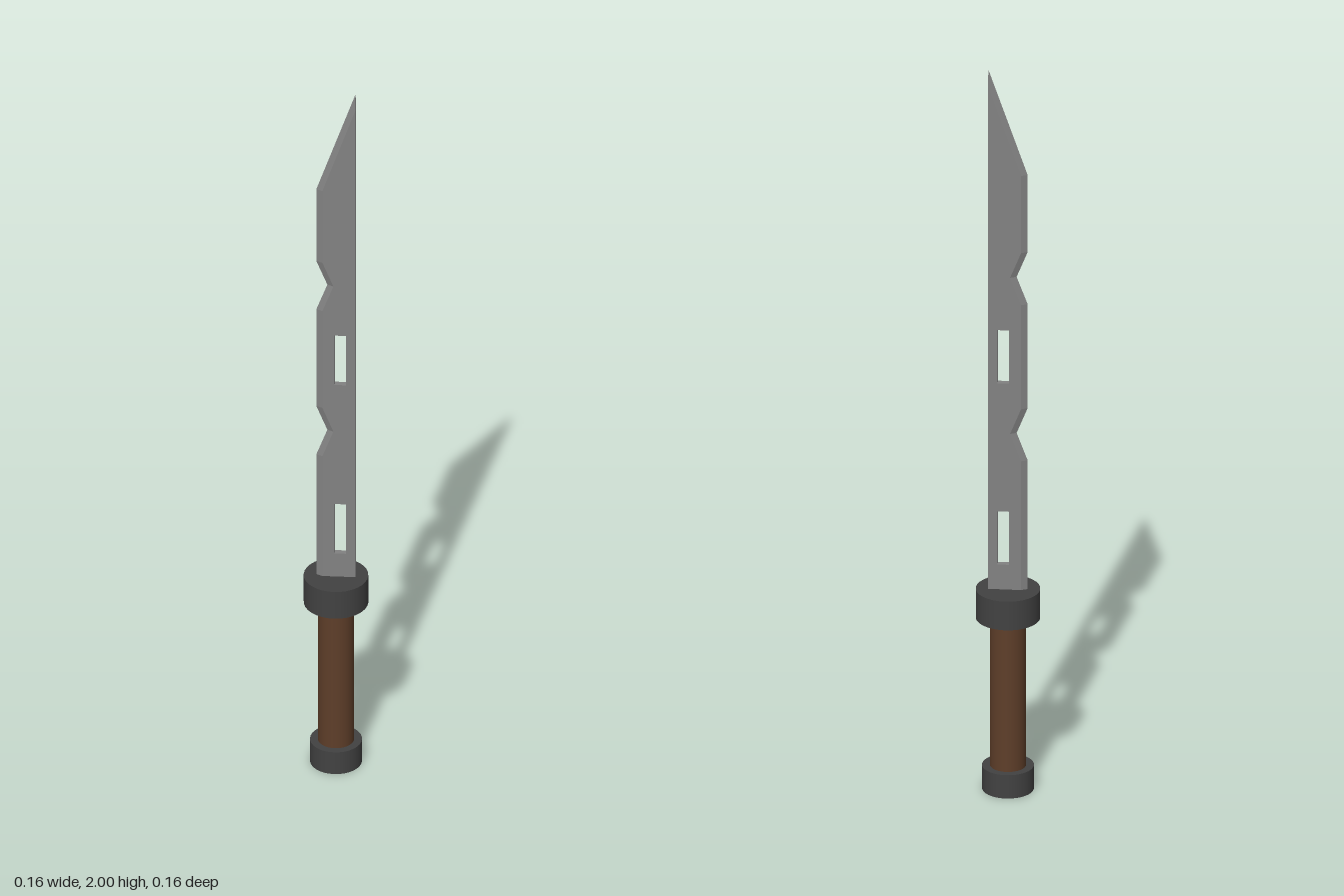
import * as THREE from 'three';

const steel = new THREE.MeshStandardMaterial({ color: 0x828282 });
steel.name = 'bladeSteel';
const iron = new THREE.MeshStandardMaterial({ color: 0x424242 });
iron.name = 'darkIron';
const wood = new THREE.MeshStandardMaterial({ color: 0x5e3e29 });
wood.name = 'brownGrip';

const HALF = 0.008; // half the blade thickness
const BEVEL = 0.016; // width of the sharpened edge
const TIP = 1.955; // top of the flat faces

function makeBlade() {
  // Outline of the flat faces, inside the bevel
  const edge = -0.05 + BEVEL, notch = -0.022 + BEVEL;
  const shape = new THREE.Shape([
    [0.05, 0.53], [0.05, TIP], [edge, 1.71],
    [edge, 1.495], [notch, 1.425], [edge, 1.35],
    [edge, 1.06], [notch, 0.99], [edge, 0.915],
    [edge, 0.53],
  ].map(([x, y]) => new THREE.Vector2(x, y)));

  // Two slots through the blade
  for (const y of [0.625, 1.13]) {
    shape.holes.push(new THREE.Path([
      [-0.003, y], [-0.003, y + 0.148], [0.026, y + 0.148], [0.026, y],
    ].map(([x, v]) => new THREE.Vector2(x, v))));
  }

  const geo = new THREE.ExtrudeGeometry(shape, { depth: 2 * HALF, steps: 2, bevelEnabled: false });
  geo.translate(0, 0, -HALF);

  // Push the middle layer outward to form the sharp edge and point
  const pos = geo.attributes.position;
  for (let i = 0; i < pos.count; i++) {
    if (Math.abs(pos.getZ(i)) > 1e-4) continue;
    if (pos.getX(i) < -0.005) pos.setX(i, pos.getX(i) - BEVEL);
    else if (pos.getY(i) > TIP - 0.001) pos.setY(i, 2);
  }
  geo.computeVertexNormals();
  const blade = new THREE.Mesh(geo, steel);
  blade.name = 'blade';
  return blade;
}

// Upright cylinder between two heights
function rod(name, radius, y0, y1, material) {
  const mesh = new THREE.Mesh(new THREE.CylinderGeometry(radius, radius, y1 - y0, 32), material);
  mesh.position.y = (y0 + y1) / 2;
  mesh.name = name;
  return mesh;
}

export function createModel() {
  const model = new THREE.Group();
  model.name = 'sword';
  model.add(
    rod('pommel', 0.066, 0, 0.065, iron),
    rod('grip', 0.046, 0.05, 0.49, wood),
    rod('guard', 0.082, 0.476, 0.556, iron),
    makeBlade(),
  );
  return model;
}
